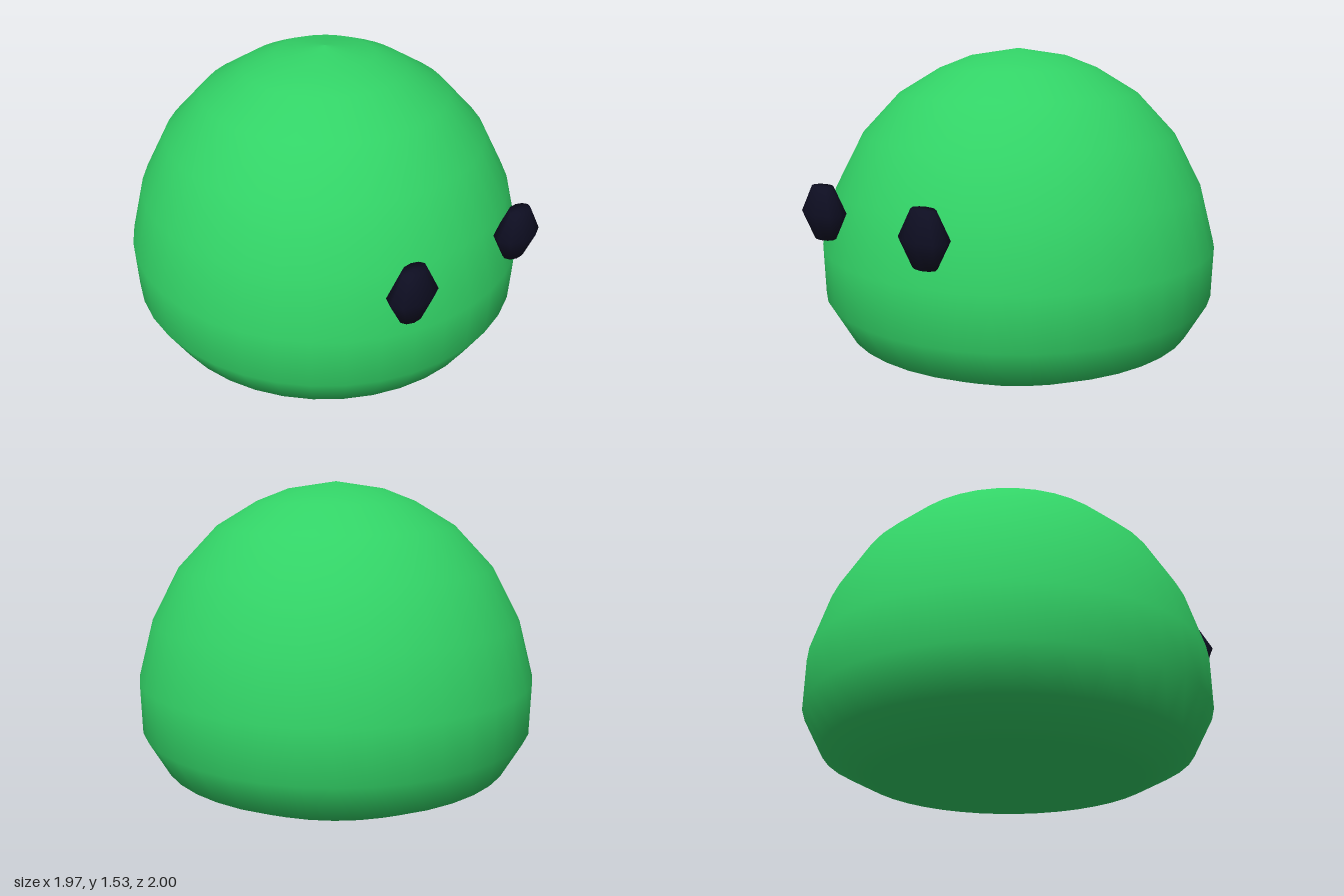
import * as THREE from 'three';

const green = new THREE.MeshStandardMaterial({ color: 0x32d266 });
green.name = 'body green';
const dark = new THREE.MeshStandardMaterial({ color: 0x0e0e22 });
dark.name = 'eye dark navy';

// Smooth surface of revolution from [radius, height] pairs, bottom to top
function lathe(name, profile, segments, material, phiStart = 0) {
  const points = profile.map(([r, y]) => new THREE.Vector2(r, y));
  const mesh = new THREE.Mesh(new THREE.LatheGeometry(points, segments, phiStart), material);
  mesh.name = name;
  return mesh;
}

export function createModel() {
  const model = new THREE.Group();
  model.name = 'blobCreature';

  // Dome body with a rounded rim and a shallow conical underside
  const body = lathe('body', [
    [0, 0], [0.6, 0.05], [0.7, 0.07], [0.88, 0.16], [0.98, 0.34], [0.985, 0.59],
    [0.91, 0.87], [0.775, 1.125], [0.59, 1.32], [0.39, 1.44], [0.235, 1.5], [0, 1.535],
  ], 40, green);
  body.position.z = -0.015;
  model.add(body);

  // Faceted eyes, flattened front to back
  for (const [name, side] of [['leftEye', 1], ['rightEye', -1]]) {
    const eye = lathe(name, [
      [0, -0.122], [0.063, -0.122], [0.131, 0], [0.063, 0.122], [0, 0.122],
    ], 10, dark, Math.PI / 2);
    eye.scale.z = 0.62;
    eye.position.set(side * 0.345, 0.812, 0.922);
    model.add(eye);
  }
  return model;
}
